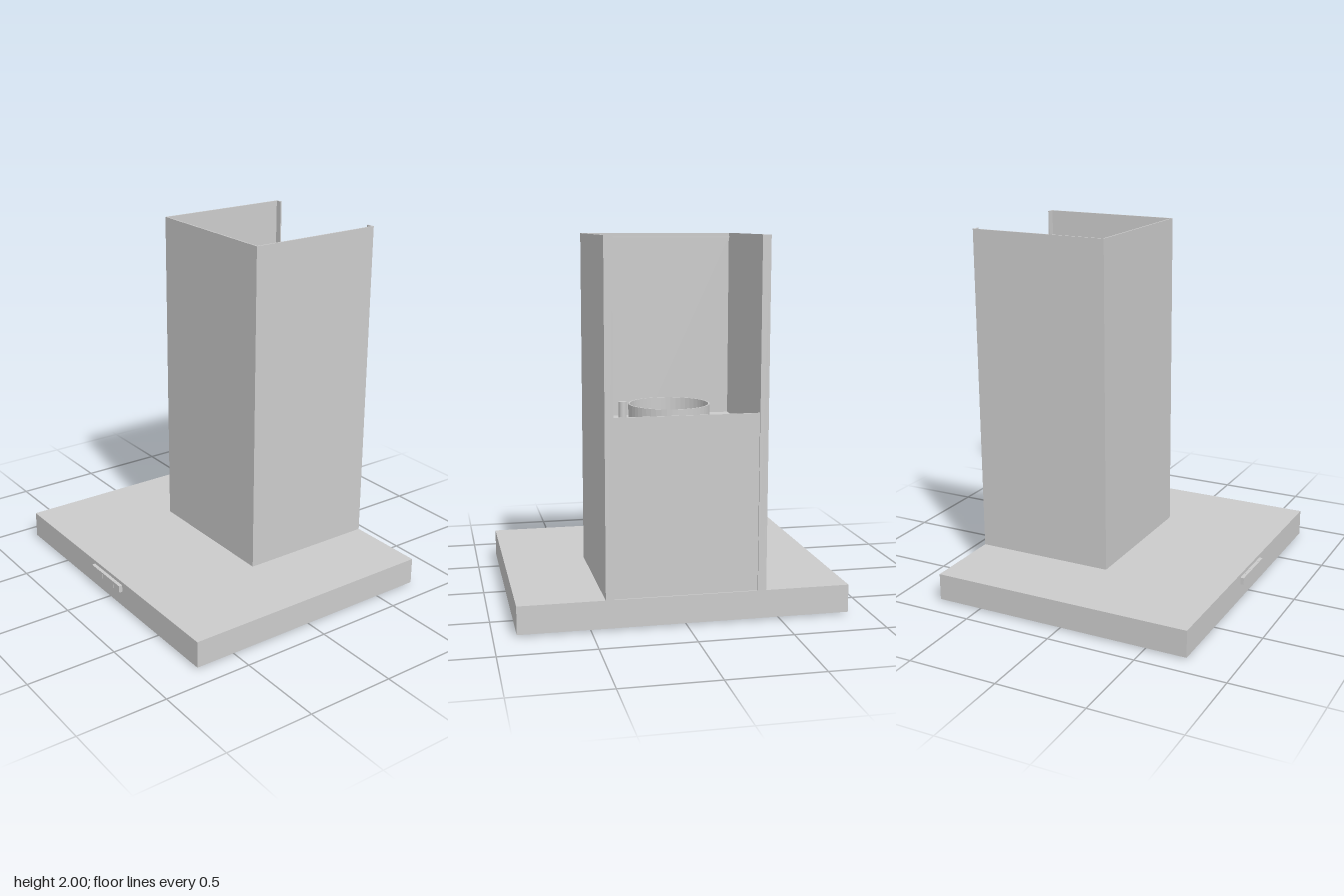
import * as THREE from 'three';

export function createModel() {
  const root = new THREE.Group();
  const metal = new THREE.MeshStandardMaterial({ color: 0xcccccc, side: THREE.DoubleSide });

  const add = (parent, name, geometry) => {
    const mesh = new THREE.Mesh(geometry, metal);
    mesh.name = name;
    parent.add(mesh);
    return mesh;
  };
  // Box given by its minimum and maximum on each axis
  const box = (parent, name, x0, x1, y0, y1, z0, z1) => {
    const mesh = add(parent, name, new THREE.BoxGeometry(x1 - x0, y1 - y0, z1 - z0));
    mesh.position.set((x0 + x1) / 2, (y0 + y1) / 2, (z0 + z1) / 2);
    return mesh;
  };
  const group = (name) => {
    const g = new THREE.Group();
    g.name = name;
    root.add(g);
    return g;
  };
  const rect = (path, x0, x1, y0, y1) => {
    path.moveTo(x0, y0);
    path.lineTo(x1, y0);
    path.lineTo(x1, y1);
    path.lineTo(x0, y1);
    path.closePath();
    return path;
  };

  // Canopy: flat slab above a rim that frames the filters
  const canopy = group('canopy');
  const BACK = -0.75, FRONT = 0.735, W = 0.88;
  box(canopy, 'canopyBody', -W, W, 0.03, 0.16, BACK, FRONT);
  const rimShape = rect(new THREE.Shape(), -W, W, -FRONT, -BACK);
  rimShape.holes.push(rect(new THREE.Path(), -0.83, 0.83, -0.6, 0.7));
  const rim = add(canopy, 'canopyRim',
    new THREE.ExtrudeGeometry(rimShape, { depth: 0.02, bevelEnabled: false }));
  rim.rotation.x = -Math.PI / 2;
  rim.position.y = 0.01;
  box(canopy, 'lightStrip', -0.37, 0.37, 0, 0.01, 0.635, 0.705);

  // Two grease filters, each with a cut-out and a latch
  const filters = group('filters');
  for (const s of [-1, 1]) {
    const shape = rect(new THREE.Shape(), s * 0.42 - 0.405, s * 0.42 + 0.405, -0.585, 0.685);
    shape.holes.push(rect(new THREE.Path(), s * 0.42 - 0.06, s * 0.42 + 0.06, -0.545, -0.455));
    const panel = add(filters, 'filterPanel',
      new THREE.ExtrudeGeometry(shape, { depth: 0.014, bevelEnabled: false }));
    panel.rotation.x = -Math.PI / 2;
    panel.position.y = 0.016;
    box(filters, 'filterLatch', s * 0.42 - 0.025, s * 0.42 + 0.025, 0.016, 0.03, 0.49, 0.53);
  }

  // Control buttons on the front edge
  const controls = group('controls');
  const splits = [-0.15, -0.09, -0.03, 0.09, 0.15];
  for (let i = 0; i < 4; i++)
    box(controls, 'controlButton', splits[i] + 0.001, splits[i + 1] - 0.001, 0.1, 0.14, FRONT, 0.755);

  // Chimney: thin folded sheet, open at the top and back
  const chimney = group('chimney');
  const C = 0.425, CF = 0.045, T = 0.008;
  box(chimney, 'chimneyFront', -C, C, 0.16, 2, CF - T, CF);
  box(chimney, 'chimneyTopLip', -C + T, C - T, 1.975, 1.983, 0.018, CF - T);
  for (const s of [-1, 1]) {
    const side = box(chimney, 'chimneySide', C - T, C, 0.16, 2, BACK, CF - T);
    const flange = box(chimney, 'chimneyBackFlange', C - 0.045, C - T, 0.16, 2, BACK, BACK + T);
    side.position.x *= s;
    flange.position.x *= s;
  }

  // Motor housing inside the chimney, with a raised back panel
  const housing = group('motorHousing');
  const I = C - T, FLOOR = 0.98;
  box(housing, 'housingBody', -I, I, 0.16, FLOOR, BACK + 2 * T, CF - T);
  box(housing, 'housingBackPanel', -I, I, 0.16, 1.1, BACK + T, BACK + 2 * T);

  // Exhaust collar and cable gland on the housing top
  const collar = add(housing, 'exhaustCollar', new THREE.LatheGeometry([
    [0.212, 0], [0.22, 0], [0.22, 0.115], [0.212, 0.115], [0.212, 0],
  ].map(([x, y]) => new THREE.Vector2(x, y)), 48));
  collar.geometry = collar.geometry.toNonIndexed();
  collar.geometry.computeVertexNormals();
  collar.position.set(0, FLOOR, -0.3);
  const gland = add(housing, 'cableGland', new THREE.CylinderGeometry(0.022, 0.022, 0.105, 20));
  gland.position.set(0.225, FLOOR + 0.0525, -0.135);

  return root;
}
